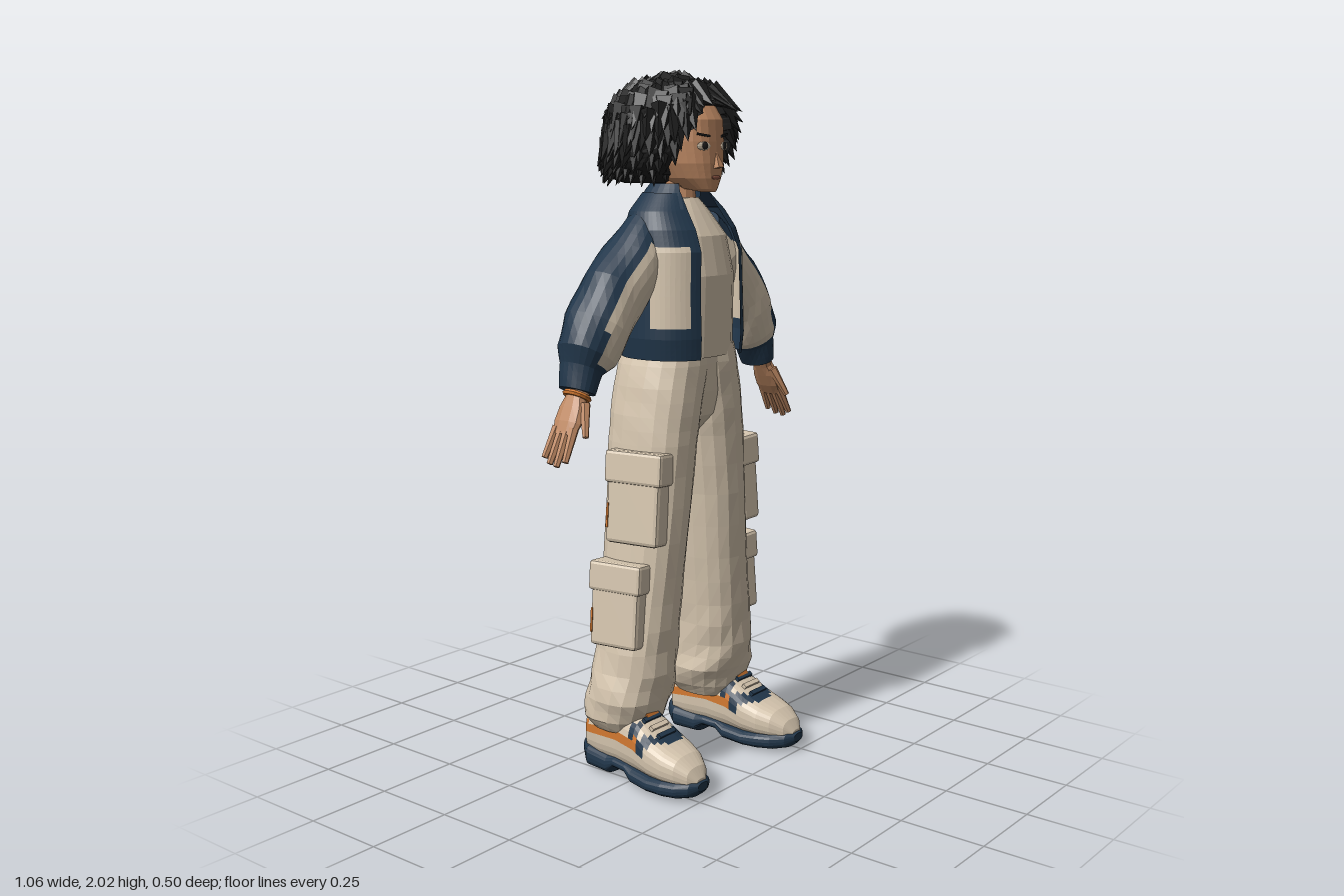
import * as THREE from 'three';
import { mergeGeometries } from 'three/addons/utils/BufferGeometryUtils.js';
import { RoundedBoxGeometry } from 'three/addons/geometries/RoundedBoxGeometry.js';

const mat = (name, color) => new THREE.MeshStandardMaterial({ name, color, flatShading: true, side: THREE.DoubleSide });
const beige = mat('beige cloth', 0xd6c6af), navy = mat('navy cloth', 0x21364a), skin = mat('skin', 0xc08a64);
const black = mat('black hair', 0x1d1d1d), orange = mat('orange trim', 0xcf7730), lip = mat('lips', 0x8a5443);

let seed = 7;
const rnd = () => (seed = (seed * 16807) % 2147483647) / 2147483647;
const pw = (v, e) => Math.sign(v) * Math.abs(v) ** e;

// Insert n linear steps between neighbouring section rows
function fine(rows, n) {
  const out = [];
  rows.forEach((r, i) => {
    const q = rows[i + 1];
    if (!q) out.push(r);
    else for (let k = 0; k < n; k++) out.push(r.map((v, j) => v + (q[j] - v) * k / n));
  });
  return out;
}

// Ring round (x, y, z) with half sizes a, b; tilt turns it in the xy plane; gap opens it at the front
function ring(x, y, z, a, b, { n = 24, tilt = 0, e = 0.85, gap = 0, warp } = {}) {
  const d = gap ? Math.asin((gap / a) ** (1 / e)) : 0, pts = [];
  for (let j = 0; j < (gap ? n + 1 : n); j++) {
    const t = Math.PI / 2 + d + (2 * Math.PI - 2 * d) * j / n, w = warp ? warp(t, y) : 1;
    const u = a * w * pw(Math.cos(t), e), v = b * w * pw(Math.sin(t), e);
    pts.push(new THREE.Vector3(x + u * Math.cos(tilt), y + u * Math.sin(tilt), z + v));
  }
  return pts;
}

// Skin the rings; pick(centre, ringIndex, pointIndex) gives the index of the material
function loft(name, rings, mats, pick = () => 0, open = false) {
  mats = [mats].flat();
  const bins = mats.map(() => []), n = rings[0].length;
  const tri = (m, ...p) => p.forEach(v => bins[m].push(v.x, v.y, v.z));
  for (let i = 0; i < rings.length - 1; i++) for (let j = 0; j < (open ? n - 1 : n); j++) {
    const k = (j + 1) % n, a = rings[i][j], b = rings[i + 1][j], c = rings[i + 1][k], d = rings[i][k];
    const m = pick(a.clone().add(b).add(c).add(d).multiplyScalar(0.25), i, j);
    tri(m, a, b, d); tri(m, b, c, d);
  }
  if (!open) [rings[0], rings[rings.length - 1]].forEach((r, end) => {
    const c = r.reduce((s, p) => s.add(p), new THREE.Vector3()).multiplyScalar(1 / n);
    for (let j = 0; j < n; j++) {
      const p = r[j], q = r[(j + 1) % n];
      end ? tri(pick(c, rings.length, j), c, q, p) : tri(pick(c, 0, j), c, p, q);
    }
  });
  const g = new THREE.BufferGeometry();
  g.setAttribute('position', new THREE.Float32BufferAttribute(bins.flat(), 3));
  let start = 0;
  bins.forEach((b, m) => { g.addGroup(start, b.length / 3, m); start += b.length / 3; });
  g.computeVertexNormals();
  const mesh = new THREE.Mesh(g, mats);
  mesh.name = name;
  return mesh;
}

function put(parent, name, geo, material, pos = [0, 0, 0], rot = [0, 0, 0], scale = [1, 1, 1]) {
  const m = new THREE.Mesh(geo, material);
  m.name = name;
  m.position.set(...pos); m.rotation.set(...rot); m.scale.set(...scale);
  parent.add(m);
}

function makeHair() {
  const g = new THREE.Group(); g.name = 'hair';
  const rows = [[1.705, .09, .075, -.12], [1.72, .15, .11, -.115], [1.75, .184, .142, -.088], [1.79, .193, .158, -.07], [1.84, .184, .168, -.055],
    [1.885, .163, .163, -.05], [1.92, .133, .143, -.047], [1.945, .09, .1, -.045], [1.958, .05, .055, -.045]];
  const hairline = x => 1.915 - 9 * x * x;
  // Cap, set back behind the face
  const rings = fine(rows, 3).map(([y, a, b, z]) => ring(0, y, z, a, b, { n: 40, e: 0.95, warp: (t, h) => 1 + .02 * Math.sin(t * 20 + h * 60) }));
  rings.flat().forEach(p => { if (p.z > 0 && Math.abs(p.x) < .1 && p.y < hairline(p.x)) p.z = 0; });
  g.add(loft('hairCap', rings, black));
  // Tiers of pointed curls
  const curls = [], up = new THREE.Vector3(0, 1, 0);
  fine(rows.slice(1), 2).forEach(([y, a, b, z], i) => {
    const n = Math.max(8, Math.round(a * 165));
    for (let j = 0; j < n; j++) {
      const t = (j + (i % 2) / 2 + rnd() * .5) / n * Math.PI * 2, c = Math.cos(t), s = Math.sin(t);
      const p = new THREE.Vector3(a * c, y + .018 + rnd() * .012 - Math.max(0, y - 1.9) * .3, z + b * s);
      if (p.z > 0 && Math.abs(p.x) < .1 && p.y < hairline(p.x) + .03) continue;
      const k = .5 + Math.max(0, y - 1.85) * 22;
      const dir = new THREE.Vector3(c * k, -1, s * k).normalize();
      const cone = new THREE.ConeGeometry(.03 + rnd() * .009, .085 + rnd() * .025, 5);
      cone.rotateY(rnd() * 6);
      cone.applyQuaternion(new THREE.Quaternion().setFromUnitVectors(up, dir));
      curls.push(cone.translate(p.x, p.y, p.z));
    }
  });
  put(g, 'curls', mergeGeometries(curls), black);
  return g;
}

function makeHead() {
  const g = new THREE.Group(); g.name = 'head';
  const rows = [[1.682, .02, .02, .08], [1.69, .036, .05, .053], [1.72, .064, .085, .023], [1.76, .082, .1, .01],
    [1.82, .092, .108, 0], [1.88, .092, .104, 0], [1.93, .075, .085, -.01], [1.96, .03, .03, -.02]];
  g.add(loft('face', fine(rows, 2).map(([y, a, b, z]) => ring(0, y, z, a, b)), skin));
  put(g, 'neck', new THREE.CylinderGeometry(.04, .05, .14, 12), skin, [0, 1.665, -.02]);
  put(g, 'nose', new THREE.ConeGeometry(.017, .055, 4), skin, [0, 1.775, .11], [-.2, Math.PI / 4, 0]);
  const disc = new THREE.SphereGeometry(1, 12, 6);
  put(g, 'lips', disc, lip, [0, 1.722, .108], [0, 0, 0], [.02, .006, .004]);
  for (const s of [-1, 1]) {
    put(g, 'eyeWhite', disc, beige, [s * .046, 1.808, .1], [0, s * .25, 0], [.024, .012, .004]);
    put(g, 'iris', disc, black, [s * .044, 1.809, .103], [0, s * .25, 0], [.011, .011, .004]);
    put(g, 'eyebrow', new THREE.BoxGeometry(.042, .006, .006), black, [s * .047, 1.838, .1], [0, s * .28, s * .15]);
  }
  return g;
}

function makeTorso() {
  const g = new THREE.Group(); g.name = 'torso';
  const shirt = [[1.22, .16, .118, -.01], [1.45, .155, .12, -.005], [1.56, .14, .108, -.015], [1.63, .09, .075, -.025], [1.665, .055, .052, -.025]];
  g.add(loft('shirt', fine(shirt, 2).map(([y, a, b, z]) => ring(0, y, z, a, b)), beige));
  // Open jacket: y, half width, half depth, z, half opening
  const rows = [[1.22, .183, .15, -.013, .088], [1.28, .192, .15, -.01, .09], [1.4, .19, .146, -.01, .09], [1.52, .188, .145, -.012, .085],
    [1.58, .182, .128, -.02, .08], [1.63, .162, .102, -.03, .072], [1.68, .11, .075, -.035, .062]];
  const panel = p => {
    const x = Math.abs(p.x);
    if (p.y > 1.535 || p.y < 1.3) return 0;
    if (p.z > .02) return x > .115 ? 1 : 0;
    return p.z < -.07 && (x < .028 || (x > .06 && x < .135)) ? 1 : 0;
  };
  g.add(loft('jacketBody', fine(rows, 4).map(([y, a, b, z, w]) => ring(0, y, z, a, b, { n: 56, gap: w })), [navy, beige], panel, true));
  // Folded collar
  const collar = [[1.635, .135, .108, -.03, .085], [1.69, .088, .076, -.035, .06], [1.705, .075, .066, -.035, .052], [1.66, .07, .06, -.035, .05]];
  g.add(loft('collar', collar.map(([y, a, b, z, w]) => ring(0, y, z, a, b, { gap: w })), navy, undefined, true));
  // Filler between the tops of the trouser legs
  const hips = [[1.0, .03, .07, -.03], [1.05, .08, .115, -.032], [1.12, .14, .126, -.032], [1.2, .165, .128, -.03], [1.26, .16, .118, -.02]];
  g.add(loft('hips', hips.map(([y, a, b, z]) => ring(0, y, z, a, b)), beige));
  return g;
}

function makeArm(side) {
  const g = new THREE.Group(); g.name = side > 0 ? 'leftArm' : 'rightArm';
  const rows = [[.416, 1.156, .4, .043, .055], [.395, 1.215, .45, .058, .06], [.375, 1.25, .5, .085, .08],
    [.33, 1.325, .55, .093, .09], [.255, 1.42, .6, .096, .09], [.175, 1.495, .65, .09, .09], [.11, 1.575, .7, .07, .07]];
  const rings = fine(rows, 3).map(([x, y, tilt, a, b]) => ring(x, y, -.045, a, b,
    { tilt, n: 24, e: .95, warp: (t, h) => 1 + .025 * Math.sin(3 * t + h * 45) }));
  const top = j => Math.cos(Math.PI / 2 + (j + .5) / 24 * Math.PI * 2);
  // Navy cuff, yoke and outer stripe that widens towards the cuff
  g.add(loft('sleeve', rings, [navy, beige], (p, i, j) => (i < 4 || p.y > 1.545 || top(j) > (i < 8 ? .2 : .45) ? 0 : 1)));
  // Hand, hanging along its own -y
  const hand = new THREE.Group(); hand.name = 'hand';
  hand.position.set(.415, 1.165, -.035); hand.rotation.z = .5;
  const palm = [[-.135, .013, .038], [-.1, .019, .046], [-.06, .022, .042], [-.03, .024, .031], [.03, .028, .032]];
  hand.add(loft('palm', palm.map(([y, a, b]) => ring(0, y, 0, a, b, { n: 10 })), skin));
  [.09, .105, .11, .095].forEach((len, i) => {
    const k = i - 1.5;
    put(hand, 'finger', new THREE.CylinderGeometry(.014, .009, len, 6), skin, [.002, -.115 - len / 2, k * .023], [-k * .06, 0, 0]);
  });
  put(hand, 'thumb', new THREE.CylinderGeometry(.016, .009, .095, 6), skin, [-.008, -.085, .05], [-.35, 0, -.1]);
  if (side < 0) put(hand, 'bracelet', new THREE.TorusGeometry(.033, .008, 6, 14), orange, [0, -.022, 0], [Math.PI / 2, 0, 0]);
  g.add(hand);
  return g;
}

function makeLeg() {
  const g = new THREE.Group();
  // Trouser leg: y, inner x, outer x, back z, front z
  const rows = [[.145, .11, .285, -.165, .02], [.18, .085, .31, -.18, .04], [.24, .065, .318, -.175, .062], [.32, .073, .298, -.16, .075], [.45, .065, .275, -.155, .08],
    [.6, .05, .252, -.155, .085], [.8, .03, .23, -.16, .095], [.98, .004, .216, -.165, .1], [1.06, -.01, .206, -.166, .102], [1.14, -.03, .192, -.166, .104],
    [1.2, -.04, .177, -.16, .104], [1.25, -.04, .16, -.145, .1]];
  const fold = (t, y) => 1 + (y < .4 ? .03 : .008) * Math.sin(3 * t + y * 50);
  g.add(loft('trouserLeg', fine(rows, 2).map(([y, i, o, b, f]) => ring((i + o) / 2, y, (b + f) / 2, (o - i) / 2, (f - b) / 2, { n: 18, warp: fold })), beige));
  // Cargo pockets with flaps
  for (const [x, y, z, h, d] of [[.215, .83, 0, .26, .17], [.262, .525, -.03, .24, .155]]) {
    const p = new THREE.Group(); p.name = 'cargoPocket';
    p.position.set(x, y, z); p.rotation.set(0, -.15, .09);
    put(p, 'pocketBag', new RoundedBoxGeometry(.07, h, d, 1, .012), beige);
    put(p, 'pocketFlap', new RoundedBoxGeometry(.082, h * .36, d + .016, 1, .01), beige, [0, h * .34, 0]);
    put(p, 'pocketTab', new THREE.BoxGeometry(.006, .07, .006), orange, [.034, -h * .2, -d / 2 + .006]);
    g.add(p);
  }
  // Shoe cross-sections from toe to heel: z, half width, bottom, top
  const section = ([z, w, lo, hi]) => Array.from({ length: 28 }, (_, j) => {
    const t = j / 28 * Math.PI * 2;
    return new THREE.Vector3(.215 + .08 * z + w * pw(Math.cos(t), .75), (lo + hi) / 2 + (hi - lo) / 2 * pw(Math.sin(t), .75), z);
  });
  const upper = [[.243, .02, .04, .065], [.225, .045, .035, .095], [.19, .067, .035, .122], [.15, .08, .035, .138], [.1, .084, .035, .16], [.04, .078, .035, .2],
    [-.04, .068, .035, .21], [-.12, .066, .035, .2], [-.172, .056, .04, .18], [-.19, .03, .06, .15]];
  const paint = p => {
    const stripe = .125 + .1 * Math.max(0, p.z + .06);
    if (p.z < .05 && Math.abs(p.y - stripe) < .018) return 1;
    const x = Math.abs(p.x - .222), arc = .122 - 8 * x * x;
    return (Math.abs(p.z - arc) < .018 && p.y > .11) || (p.z > .015 && p.z < .05 && p.y > .15 && p.y < .19) ? 2 : 0;
  };
  g.add(loft('shoeUpper', fine(upper, 4).map(section), [beige, orange, navy], paint));
  const sole = [[.25, .022, .03, .055], [.232, .05, .012, .062], [.195, .074, .003, .062], [.15, .086, 0, .06], [.1, .089, 0, .055], [.03, .082, .004, .06],
    [0, .074, .028, .065], [-.05, .071, .028, .068], [-.08, .071, 0, .07], [-.16, .07, 0, .078], [-.195, .042, .02, .085]];
  g.add(loft('shoeSole', sole.map(section), navy));
  for (let i = 0; i < 3; i++) put(g, 'lace', new THREE.BoxGeometry(.07, .012, .014), i % 2 ? beige : navy, [.222, .16 + i * .017, .106 - i * .027], [.6, 0, 0]);
  put(g, 'shoeTongueTab', new THREE.BoxGeometry(.05, .02, .012), orange, [.217, .205, .045], [-.4, 0, 0]);
  return g;
}

export function createModel() {
  const model = new THREE.Group();
  model.name = 'standingFigure';
  model.add(makeHair(), makeHead(), makeTorso());
  for (const side of [1, -1]) {
    const arm = makeArm(side), leg = makeLeg();
    leg.name = side > 0 ? 'leftLeg' : 'rightLeg';
    arm.scale.x = leg.scale.x = side;
    model.add(arm, leg);
  }
  return model;
}
